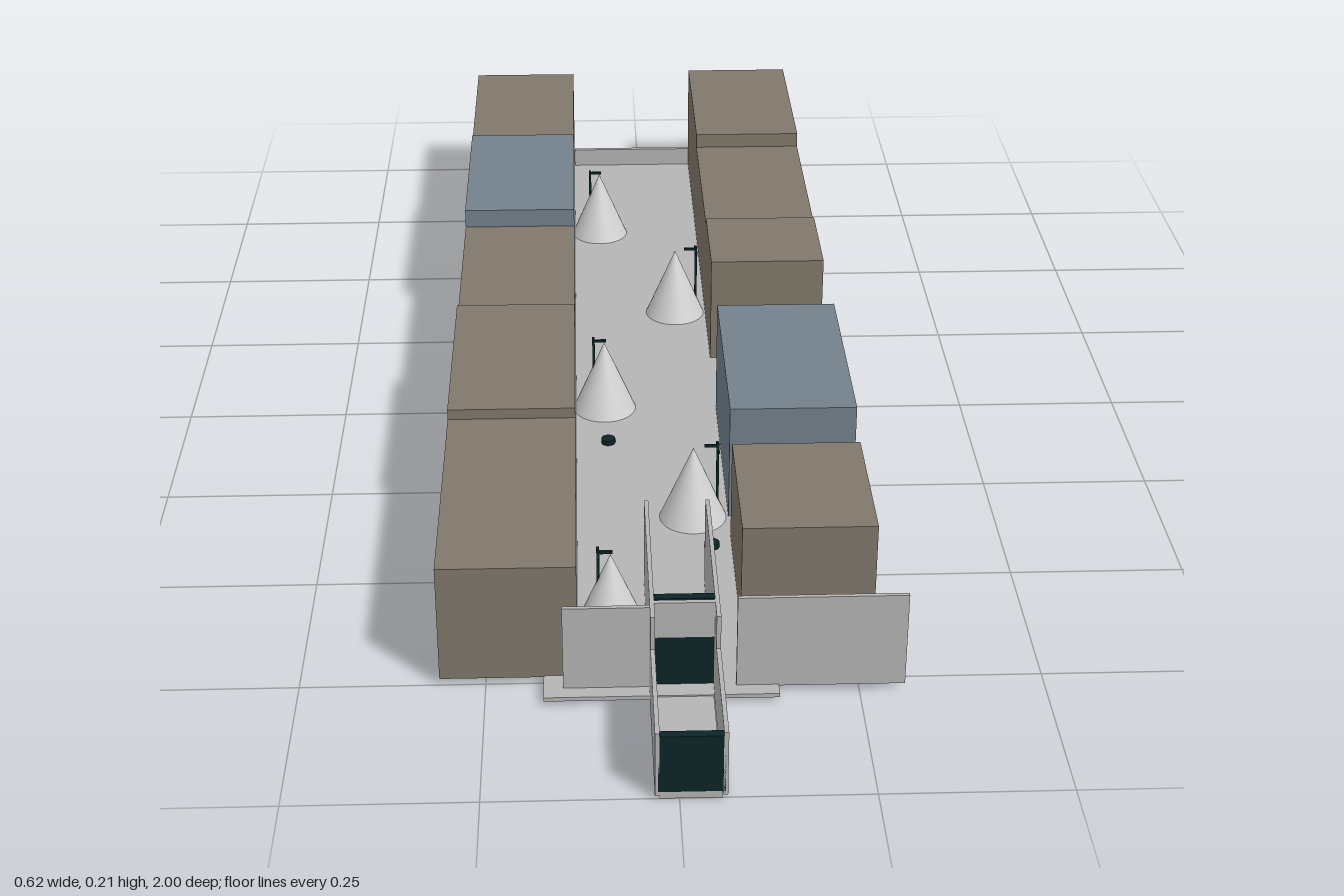
import * as THREE from 'three';

export function createModel() {
  const model = new THREE.Group();
  model.name = 'streetBlock';
  const mat = (name, color, side = THREE.FrontSide) => {
    const m = new THREE.MeshStandardMaterial({ color, side });
    m.name = name;
    return m;
  };
  const brown = mat('brownBuilding', 0x80786b);
  const blue = mat('blueBuilding', 0x73808b);
  const grey = mat('concreteGrey', 0xb4b4b4);
  const dark = mat('darkGreen', 0x0c2426);
  const pale = mat('paleCone', 0xd2d2d2);

  // Box given by its extents
  function box(name, material, x0, x1, y0, y1, z0, z1, parent = model) {
    const mesh = new THREE.Mesh(new THREE.BoxGeometry(x1 - x0, y1 - y0, z1 - z0), material);
    mesh.position.set((x0 + x1) / 2, (y0 + y1) / 2, (z0 + z1) / 2);
    mesh.name = name;
    parent.add(mesh);
    return mesh;
  }

  // Street slab and low wall closing its back end
  box('streetFloor', grey, -0.172, 0.142, 0.006, 0.012, -1, 0.8);
  box('backWall', grey, -0.125, 0.1, 0.01, 0.045, -0.994, -0.986);

  // Buildings: [z start, z end, height, material]
  const rows = {
    right: [-0.312, -0.126, [
      [0.35, 0.75, 0.184, brown], [0.01, 0.35, 0.2, brown], [-0.33, 0.01, 0.18, brown],
      [-0.665, -0.33, 0.211, blue], [-1, -0.665, 0.2, brown]]],
    left: [0.1, 0.286, [
      [0.405, 0.635, 0.167, brown], [0.013, 0.352, 0.195, blue], [-0.33, -0.157, 0.19, brown],
      [-0.67, -0.33, 0.18, brown], [-1, -0.67, 0.205, brown]]]
  };
  for (const [side, [x0, x1, list]] of Object.entries(rows)) {
    list.forEach(([z0, z1, h, m], i) => box(`${side}Building${i + 1}`, m, x0, x1, 0.01, h, z0, z1));
  }

  // Side alley shelter between two left buildings
  box('alleyRoof', grey, 0.12, 0.243, 0.094, 0.1, -0.157, 0.013);
  box('alleyOuterWall', grey, 0.237, 0.243, 0.01, 0.1, -0.157, 0.013);

  // Entrance channel, open at the top
  box('channelFloor', grey, -0.025, 0.054, 0, 0.01, 0.77, 1);
  for (const x of [-0.031, 0.055]) {
    box('channelWall', grey, x, x + 0.006, 0.004, 0.1, 0.82, 1);
    box('corridorWall', grey, x, x + 0.006, 0.004, 0.15, 0.53, 0.82);
  }
  box('frontDoor', dark, -0.027, 0.058, 0.01, 0.095, 0.988, 1);
  box('innerDoor', dark, -0.025, 0.055, 0.01, 0.148, 0.762, 0.774);
  box('doorLintel', grey, -0.025, 0.055, 0.095, 0.15, 0.78, 0.787);

  // Thin fence panels on both sides of the entrance
  box('fenceRight', grey, -0.146, -0.031, 0.01, 0.138, 0.773, 0.779);
  box('fenceLeft', grey, 0.085, 0.311, 0.01, 0.15, 0.773, 0.779);

  // Cones with a street lamp on alternating sides
  const spots = [[-0.08, -0.665], [0.047, -0.33], [-0.08, 0.01], [0.047, 0.35], [-0.08, 0.635]];
  for (const [x, z] of spots) {
    const s = Math.sign(x);
    const cone = new THREE.Mesh(new THREE.ConeGeometry(0.05, 0.118, 32), pale);
    cone.position.set(x, 0.071, z);
    cone.name = 'cone';
    model.add(cone);

    const lamp = new THREE.Group();
    lamp.name = 'streetLamp';
    const px = s > 0 ? 0.083 : -0.097;
    box('lampPost', dark, px - 0.002, px + 0.002, 0.01, 0.138, z - 0.002, z + 0.002, lamp);
    box('lampCrossbar', dark, px - 0.002, px + 0.002, 0.128, 0.132, z - 0.016, z + 0.016, lamp);
    const tip = px - s * 0.02;
    box('lampArm', dark, Math.min(px, tip), Math.max(px, tip), 0.131, 0.135, z - 0.002, z + 0.002, lamp);
    model.add(lamp);
  }

  // Small round covers on the street
  for (const [x, z] of [[-0.07, -0.78], [0.042, -0.41], [-0.076, 0.125], [0.071, 0.435]]) {
    const cover = new THREE.Mesh(new THREE.CylinderGeometry(0.011, 0.011, 0.009, 16), dark);
    cover.position.set(x, 0.0155, z);
    cover.name = 'streetCover';
    model.add(cover);
  }
  return model;
}
